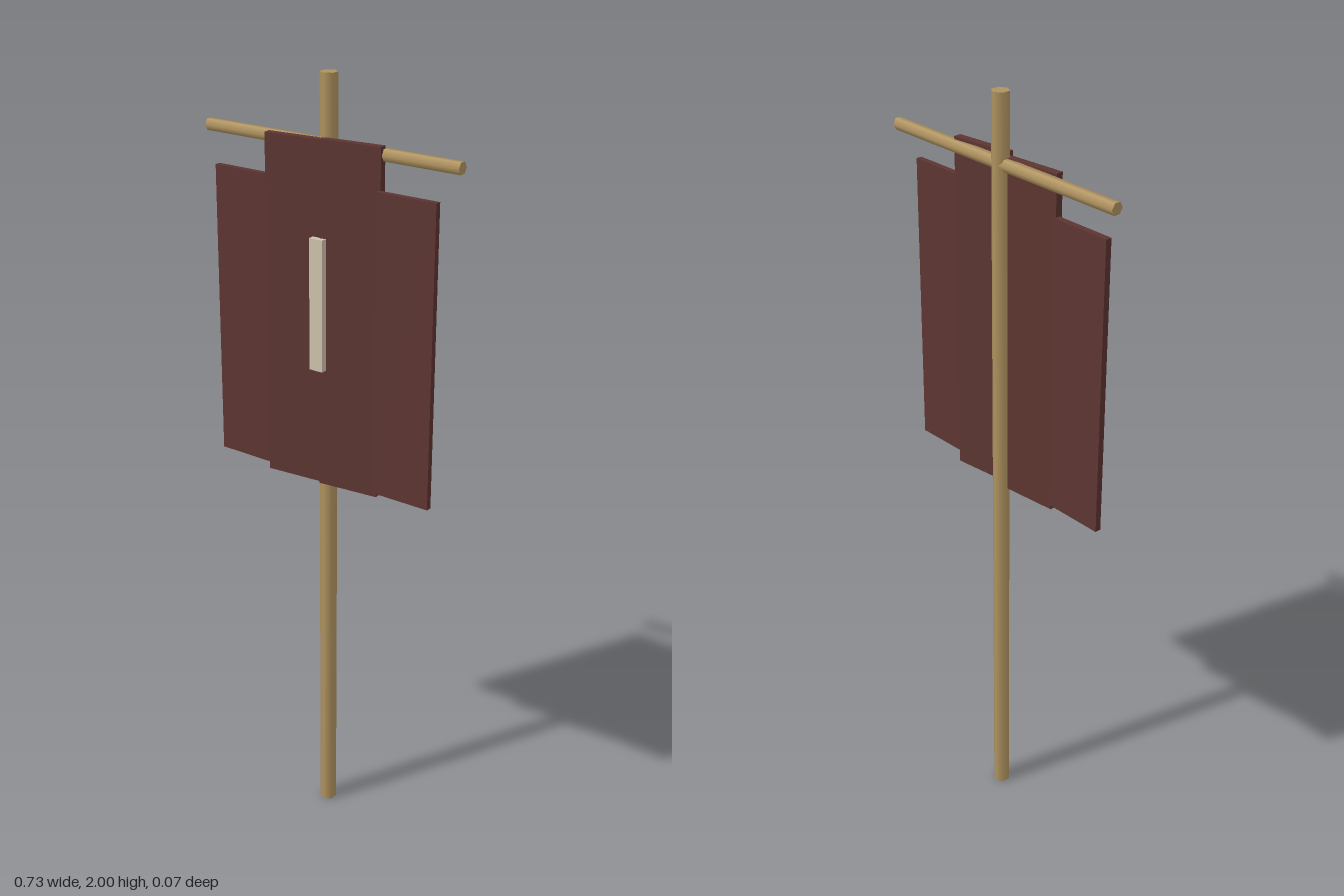
import * as THREE from 'three';

const wood = new THREE.MeshStandardMaterial({ color: 0xb0935f });
const cloth = new THREE.MeshStandardMaterial({ color: 0x5c3531 });
const pale = new THREE.MeshStandardMaterial({ color: 0xcdc2ac });

export function createModel() {
  const group = new THREE.Group();

  const add = (name, geometry, material, x, y, z, turn = 0) => {
    const mesh = new THREE.Mesh(geometry, material);
    mesh.name = name;
    mesh.position.set(x, y, z);
    mesh.rotation.y = turn;
    group.add(mesh);
  };

  // Six-sided pole and crossbar
  add('pole', new THREE.CylinderGeometry(0.022, 0.022, 2, 6), wood, 0, 1, -0.015);
  const bar = new THREE.CylinderGeometry(0.016, 0.016, 0.734, 6).rotateZ(Math.PI / 2);
  add('crossbar', bar, wood, 0, 1.833, -0.015);

  // Hanging cloth strips: name, centre x, bottom, top, centre z, thickness, turn
  const strips = [
    ['outerRightStrip', -0.242, 0.994, 1.746, 0.008, 0.016, 0],
    ['innerRightStrip', -0.081, 0.98, 1.848, 0.0055, 0.02, 0.1],
    ['innerLeftStrip', 0.08, 0.984, 1.854, 0.004, 0.02, 0.115],
    ['outerLeftStrip', 0.24, 1.0, 1.754, 0.009, 0.015, 0.012],
  ];
  for (const [name, x, bottom, top, z, thickness, turn] of strips) {
    const strip = new THREE.BoxGeometry(0.163, top - bottom, thickness);
    add(name, strip, cloth, x, (bottom + top) / 2, z, turn);
  }

  // Pale upright emblem on the front
  add('frontPlaque', new THREE.BoxGeometry(0.038, 0.33, 0.016), pale, 0, 1.455, 0.029);

  return group;
}
